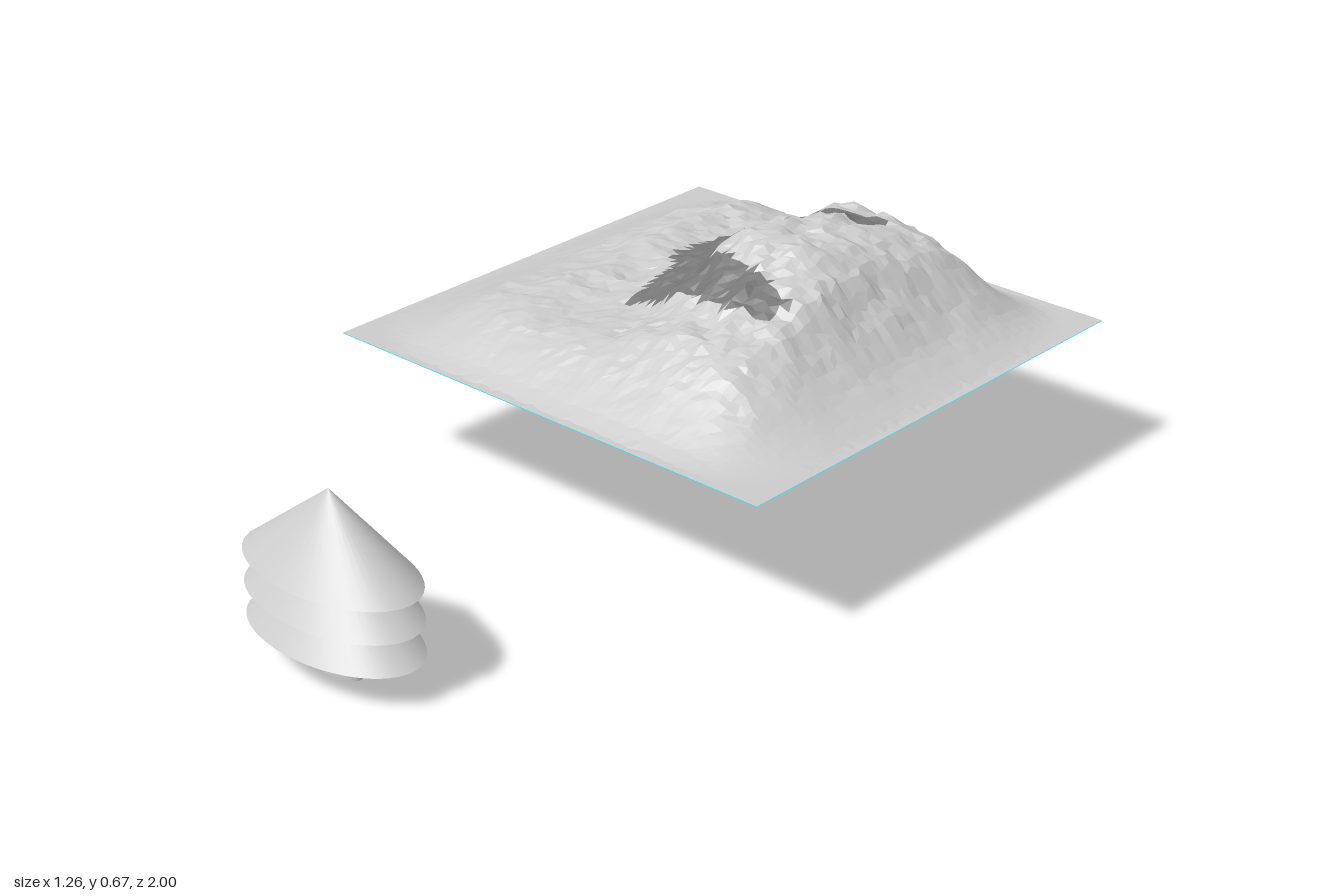
import * as THREE from 'three';

const BASE = 0.375, MID_Z = -0.37, HALF = 0.63, CELLS = 64;
const { lerp, clamp, smoothstep } = THREE.MathUtils;

// Height above the base: ridge outline across x and across z
const ACROSS_X = [[-0.61, 0], [-0.5, 0.045], [-0.4, 0.1], [-0.35, 0.11], [-0.28, 0.135], [-0.17, 0.12],
  [-0.1, 0.14], [0, 0.185], [0.05, 0.245], [0.1, 0.28], [0.16, 0.292], [0.25, 0.275], [0.3, 0.255],
  [0.35, 0.225], [0.4, 0.155], [0.45, 0.1], [0.5, 0.055], [0.55, 0.026], [0.6, 0.003], [0.61, 0]];
const ACROSS_Z = [[-0.98, 0], [-0.95, 0.015], [-0.85, 0.1], [-0.78, 0.17], [-0.7, 0.235], [-0.62, 0.25],
  [-0.55, 0.27], [-0.45, 0.285], [-0.33, 0.29], [-0.25, 0.26], [-0.17, 0.225], [-0.1, 0.19], [0, 0.15],
  [0.1, 0.09], [0.2, 0.02], [0.24, 0]];
// Outline in plan of the bare rock around the summit
const ROCK = [[-0.19, -0.4], [-0.18, -0.54], [0, -0.62], [0.1, -0.62], [0.2, -0.69], [0.25, -0.67], [0.2, -0.61],
  [0.08, -0.58], [0.03, -0.48], [0.06, -0.36], [0.01, -0.29], [0.1, -0.26], [0.2, -0.24], [0.33, -0.2],
  [0.3, -0.14], [0.2, -0.12], [0.08, -0.15], [-0.1, -0.14], [-0.11, -0.3]];

function sample(points, t) {
  for (let i = 1; i < points.length; i++) {
    const [a, ha] = points[i - 1], [b, hb] = points[i];
    if (t <= b) return lerp(ha, hb, clamp((t - a) / (b - a), 0, 1));
  }
  return 0;
}

function hash(i, j) {
  const s = Math.sin(i * 127.1 + j * 311.7) * 43758.5453;
  return (s - Math.floor(s)) * 2 - 1;
}

function noise(x, z) {
  const i = Math.floor(x), j = Math.floor(z);
  const u = smoothstep(x - i, 0, 1), v = smoothstep(z - j, 0, 1);
  return lerp(lerp(hash(i, j), hash(i + 1, j), u), lerp(hash(i, j + 1), hash(i + 1, j + 1), u), v);
}

// Smooth hollow of the given depth
const hollow = (x, z, cx, cz, rx, rz, depth) => depth * Math.exp(-(((x - cx) / rx) ** 2) - ((z - cz) / rz) ** 2);

function groundHeight(x, z) {
  const a = sample(ACROSS_X, x), b = sample(ACROSS_Z, z);
  if (a <= 0 || b <= 0) return 0;
  // rounded minimum of both outlines, keeping the summit at full height
  const low = (a * b) / Math.hypot(a, b);
  let h = low * (1 + 0.414 * (low / 0.205) ** 2);
  // rounded corners in plan
  const u = x / HALF, v = (z - MID_Z) / HALF;
  h *= 1 - smoothstep(u * u * v * v, 0.08, 0.65);
  // valley to one side and shoulder in front of the rock
  h -= hollow(x, z, -0.33, -0.28, 0.16, 0.15, 0.02) + hollow(x, z, 0.02, -0.11, 0.17, 0.12, 0.04);
  // roughness that grows with height
  const rough = clamp(h / 0.16, 0, 1) ** 1.5;
  h += rough * (0.01 * noise(x * 11, z * 11) + 0.011 * noise(x * 24, z * 24) + 0.007 * noise(x * 60, z * 60) - 0.003);
  return clamp(h, 0, 0.292);
}

function insideRock(x, z) {
  let inside = false;
  ROCK.forEach(([x1, z1], i) => {
    const [x2, z2] = ROCK[(i + 1) % ROCK.length];
    if ((z1 > z) !== (z2 > z) && x < x1 + ((z - z1) * (x2 - x1)) / (z2 - z1)) inside = !inside;
  });
  return inside;
}

function addMesh(parent, name, geometry, material) {
  const mesh = new THREE.Mesh(geometry, material);
  mesh.name = name;
  parent.add(mesh);
}

function createMountain() {
  const mountain = new THREE.Group();
  mountain.name = 'mountain';
  const square = new THREE.PlaneGeometry(2 * HALF, 2 * HALF, CELLS, CELLS).rotateX(-Math.PI / 2).translate(0, 0, MID_Z);
  const terrain = square.clone();
  const p = terrain.attributes.position;
  for (let i = 0; i < p.count; i++) {
    const col = i % (CELLS + 1), row = Math.floor(i / (CELLS + 1));
    // shift inner points sideways for irregular facets
    const inner = col > 0 && col < CELLS && row > 0 && row < CELLS;
    const shift = inner ? 0.006 : 0;
    const x = p.getX(i) + shift * hash(col, row), z = p.getZ(i) + shift * hash(row + 91, col + 37);
    p.setXYZ(i, x, BASE + groundHeight(x, z), z);
  }

  // Share the triangles out between slopes and rock
  const slopes = [], rock = [], index = terrain.index.array;
  for (let i = 0; i < index.length; i += 3) {
    const tri = [index[i], index[i + 1], index[i + 2]];
    const x = tri.reduce((s, k) => s + p.getX(k), 0) / 3;
    const z = tri.reduce((s, k) => s + p.getZ(k), 0) / 3;
    (insideRock(x, z) ? rock : slopes).push(...tri);
  }
  for (const [name, faces, color] of [['slopes', slopes, 0xcccccc], ['bareRock', rock, 0x777777]]) {
    const geometry = terrain.clone();
    geometry.setIndex(faces);
    const part = geometry.toNonIndexed();
    part.computeVertexNormals();
    addMesh(mountain, name, part, new THREE.MeshStandardMaterial({ color, flatShading: true }));
  }

  // Coloured sheet under the terrain
  const sheet = new THREE.PlaneGeometry(2 * HALF, 2 * HALF).rotateX(-Math.PI / 2).translate(0, BASE - 0.002, MID_Z);
  addMesh(mountain, 'baseSheet', sheet, new THREE.MeshStandardMaterial({ color: 0x28dde8, side: THREE.DoubleSide }));
  return mountain;
}

function createTree() {
  const tree = new THREE.Group();
  tree.name = 'tree';
  const grey = new THREE.MeshStandardMaterial({ color: 0xcccccc });
  // Oval trunk
  const trunk = new THREE.CylinderGeometry(0.073, 0.073, 0.1, 40).scale(1, 1, 0.44).translate(0, 0.05, 0);
  addMesh(tree, 'trunk', trunk, grey);
  // Three overlapping oval cones
  [0.09, 0.168, 0.246].forEach((y, i) => {
    const cone = new THREE.ConeGeometry(0.238, 0.181, 48).scale(1, 1, 0.135 / 0.238).translate(0, y + 0.0905, 0);
    addMesh(tree, `branchTier${i + 1}`, cone, grey);
  });
  tree.position.z = 0.865;
  return tree;
}

export function createModel() {
  const model = new THREE.Group();
  model.name = 'mountainAndTree';
  model.add(createMountain(), createTree());
  return model;
}
